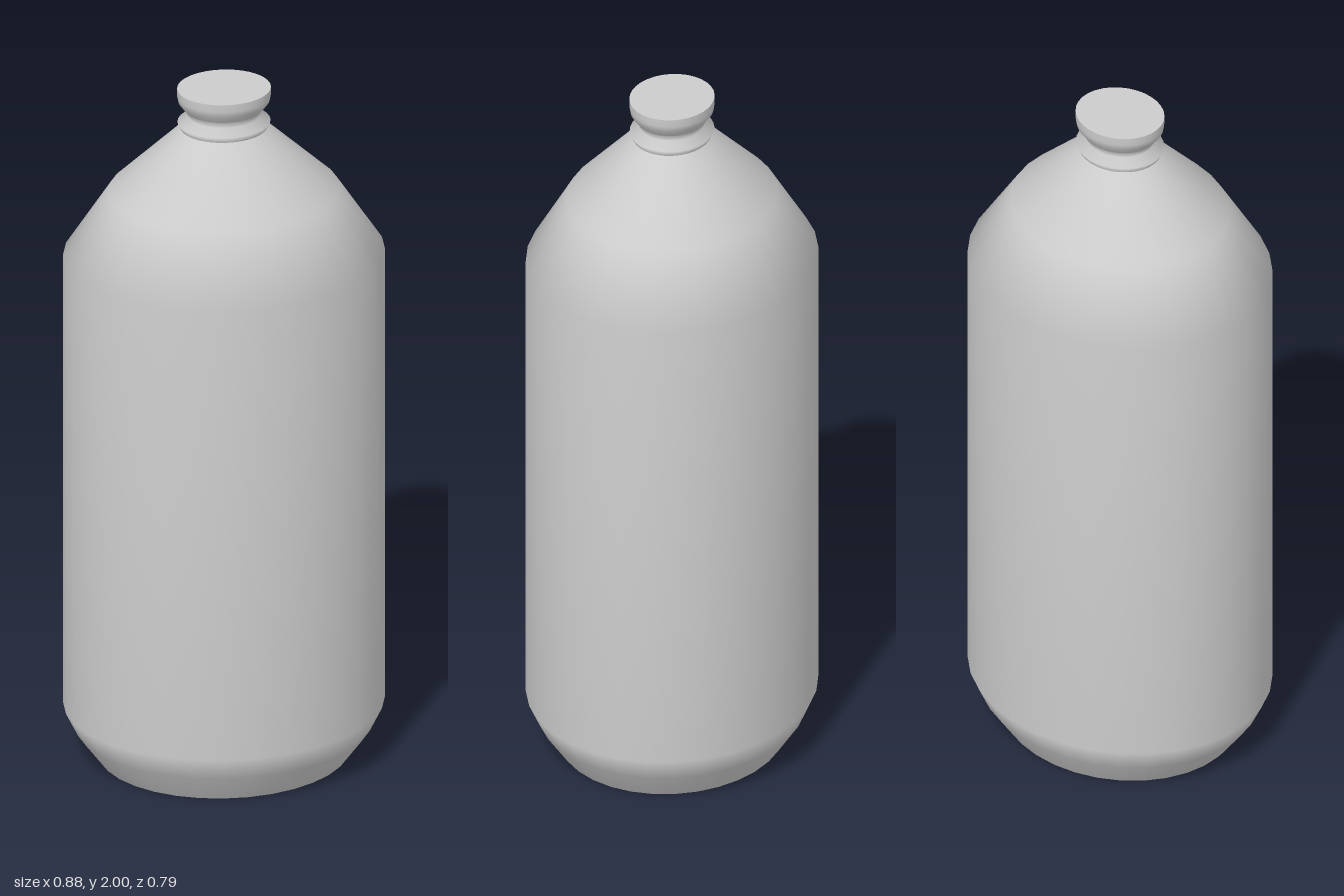
import * as THREE from 'three';

const SEGMENTS = 32;
const DEPTH = 0.893; // oval plan: z radius relative to x radius

export function createModel() {
  const bottle = new THREE.Group();
  bottle.name = 'bottle';
  const material = new THREE.MeshStandardMaterial({ color: 0xcccccc });

  const add = (name, geometry) => {
    const mesh = new THREE.Mesh(geometry, material);
    mesh.name = name;
    bottle.add(mesh);
    return mesh;
  };
  // Oval surface of revolution through [radius, height] points
  const turned = (name, points) => add(name, new THREE.LatheGeometry(
    points.map(([r, y]) => new THREE.Vector2(r, y)), SEGMENTS).scale(1, 1, DEPTH));
  // Flat oval closing an end
  const cap = (name, r, y, up) => add(name, new THREE.CircleGeometry(r, SEGMENTS)
    .rotateX(up ? -Math.PI / 2 : Math.PI / 2).scale(1, 1, DEPTH).translate(0, y, 0));

  // Rounded foot, straight wall and sloping shoulder
  turned('body', [
    [0.345, 0], [0.408, 0.085], [0.442, 0.155],
    [0.442, 1.505], [0.318, 1.695], [0.12, 1.883],
  ]);
  // Collar bead and pinched neck
  turned('neck', [[0.12, 1.883], [0.128, 1.9], [0.098, 1.918], [0.107, 1.938]]);
  // Flared lip
  turned('lip', [[0.107, 1.938], [0.126, 1.962], [0.129, 1.978], [0.129, 2]]);

  cap('base', 0.345, 0, false);
  cap('top', 0.129, 2, true);
  return bottle;
}
